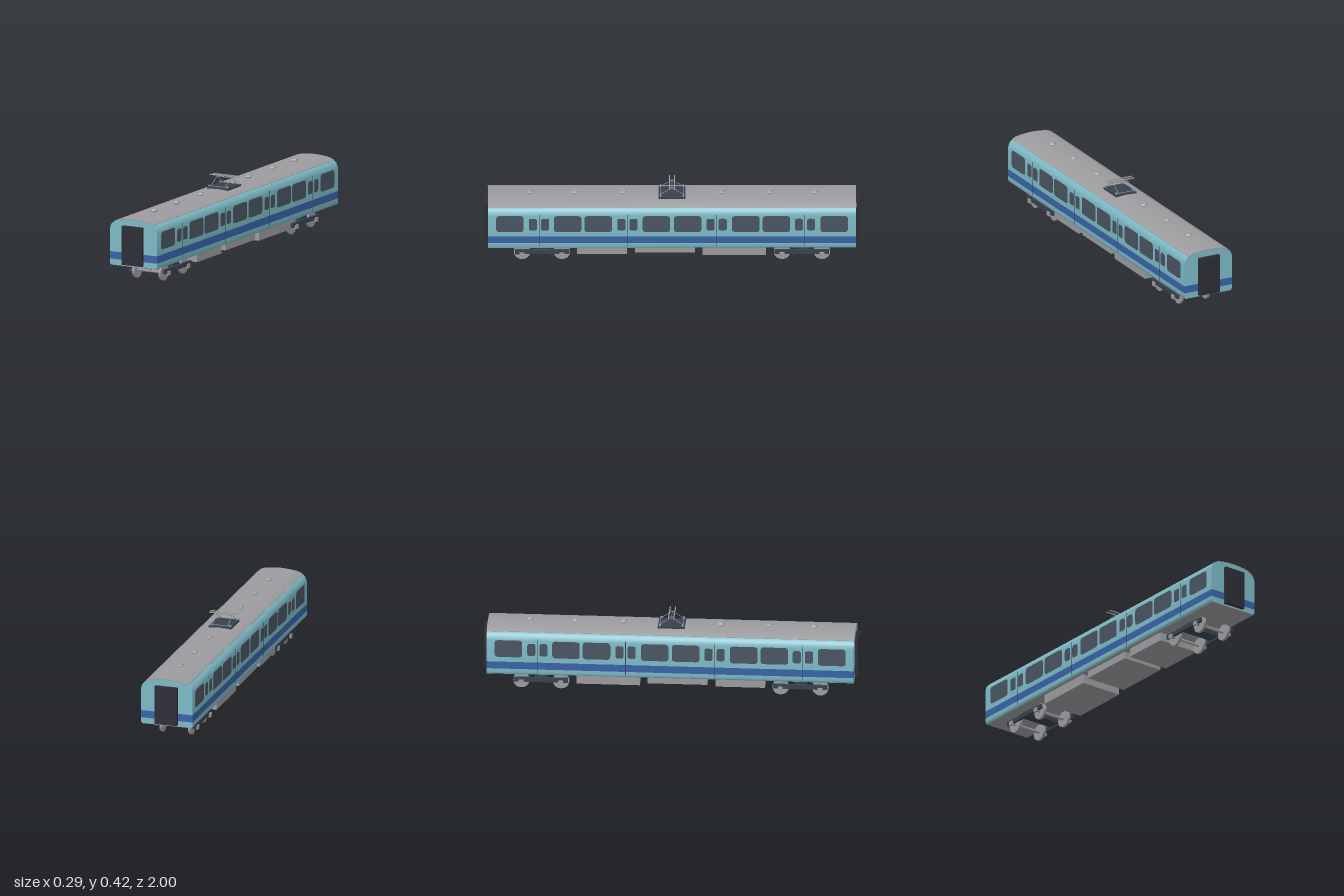
import * as THREE from 'three';
import { toCreasedNormals } from 'three/addons/utils/BufferGeometryUtils.js';

const mat = (name, color, side = THREE.FrontSide) => {
  const m = new THREE.MeshStandardMaterial({ color, side });
  m.name = name;
  return m;
};

export function createModel() {
  const teal = mat('teal paint', 0x7cb9c5);
  const blue = mat('blue stripe', 0x3763a8);
  const grey = mat('grey metal', 0x9c9c9f);
  const glass = mat('window glass', 0x4a5561);
  const dark = mat('dark gangway', 0x2d2d37);
  const navy = mat('navy frame', 0x37424f);

  const train = new THREE.Group();
  train.name = 'railcar';

  const add = (name, geo, material, x = 0, y = 0, z = 0, parent = train) => {
    const m = new THREE.Mesh(geo, material);
    m.name = name;
    m.position.set(x, y, z);
    parent.add(m);
    return m;
  };
  // box given by its limits
  const box = (name, material, x0, x1, y0, y1, z0, z1, parent) =>
    add(name, new THREE.BoxGeometry(x1 - x0, y1 - y0, z1 - z0), material,
      (x0 + x1) / 2, (y0 + y1) / 2, (z0 + z1) / 2, parent);
  // thin round bar between two points
  const bar = (name, material, a, b, r, parent) => {
    const p = new THREE.Vector3(...a), q = new THREE.Vector3(...b);
    const m = add(name, new THREE.CylinderGeometry(r, r, p.distanceTo(q), 6), material, 0, 0, 0, parent);
    m.position.copy(p).lerp(q, 0.5);
    m.quaternion.setFromUnitVectors(new THREE.Vector3(0, 1, 0), q.sub(p).normalize());
  };
  // symmetric cross-section (right half listed from bottom to top) extruded along z
  const slice = (name, material, half, length) => {
    const pts = [...half, ...half.filter(p => p[0] > 0).reverse().map(([x, y]) => [-x, y])];
    const shape = new THREE.Shape(pts.map(p => new THREE.Vector2(...p)));
    const geo = new THREE.ExtrudeGeometry(shape, { depth: length, bevelEnabled: false });
    add(name, toCreasedNormals(geo, 0.6), material, 0, 0, -length / 2);
  };

  // Body shell in colour bands
  const W = 0.144, L = 1.96;
  const arc = [[0.12, 0.334], [0.1, 0.344], [0.075, 0.349], [0.04, 0.353], [0, 0.355]];
  slice('underframe', grey, [[0.137, 0.097], [0.137, 0.1]], L);
  slice('lowerBody', teal, [[0.138, 0.0985], [0.142, 0.103], [W, 0.112], [W, 0.13]], L);
  slice('waistStripe', blue, [[W, 0.13], [W, 0.17]], L);
  slice('upperBody', teal, [[W, 0.17], [W, 0.293], [0.141, 0.308], [0.133, 0.323], ...arc], L);

  // Roof skin over the top of the shell
  const roofShape = new THREE.Shape();
  const top = [...arc, ...arc.slice(0, -1).reverse().map(([x, y]) => [-x, y])];
  const roofLoop = [...top.map(([x, y]) => [x, y + 0.002]), ...top.reverse().map(([x, y]) => [x, y - 0.002])];
  roofShape.setFromPoints(roofLoop.map(p => new THREE.Vector2(...p)));
  add('roof', toCreasedNormals(new THREE.ExtrudeGeometry(roofShape, { depth: L + 0.002, bevelEnabled: false }), 0.6),
    grey, 0, 0, -L / 2 - 0.001);

  // End gangways
  for (const s of [1, -1]) add('gangway', new THREE.BoxGeometry(0.124, 0.211, 0.03), dark, 0, 0.2125, s * 0.985);

  // Rounded window plates on both sides
  const pane = (w, h, r) => {
    const s = new THREE.Shape(), x = w / 2, y = h / 2;
    s.moveTo(-x + r, -y).lineTo(x - r, -y).quadraticCurveTo(x, -y, x, -y + r)
      .lineTo(x, y - r).quadraticCurveTo(x, y, x - r, y)
      .lineTo(-x + r, y).quadraticCurveTo(-x, y, -x, y - r)
      .lineTo(-x, -y + r).quadraticCurveTo(-x, -y, -x + r, -y);
    return new THREE.ExtrudeGeometry(s, { depth: 0.003, bevelEnabled: false, curveSegments: 4 });
  };
  const bigPane = pane(0.147, 0.096, 0.018), smallPane = pane(0.043, 0.07, 0.012);
  for (const side of [1, -1]) {
    const put = (name, geo, y, z) => {
      add(name, geo, glass, side * (W - 0.001), y, z).rotation.y = side * Math.PI / 2;
    };
    for (const e of [1, -1]) {
      for (const z of [0.863, 0.556, 0.393, 0.083]) put('window', bigPane, 0.246, e * z);
      for (const z of [0.741, 0.676, 0.27, 0.205]) put('doorWindow', smallPane, 0.243, e * z);
      // seam between the door leaves
      for (const z of [0.707, 0.238])
        add('doorSeam', new THREE.BoxGeometry(0.002, 0.193, 0.003), navy, side * W, 0.208, e * z);
    }
  }

  // Equipment boxes under the floor
  for (const [z0, z1, y0] of [[0.24, 0.505, 0.05], [-0.123, 0.197, 0.058], [-0.5, -0.163, 0.045]])
    box('equipmentBox', grey, -0.121, 0.121, y0, 0.098, z0, z1);

  // Bogies
  for (const e of [1, -1]) {
    const bogie = new THREE.Group();
    bogie.name = 'bogie';
    bogie.position.z = e * 0.692;
    train.add(bogie);
    box('bolster', navy, -0.098, 0.098, 0.053, 0.08, -0.035, 0.035, bogie);
    box('pivot', navy, -0.03, 0.03, 0.078, 0.099, -0.03, 0.03, bogie);
    for (const s of [1, -1])
      add('sideFrame', new THREE.BoxGeometry(0.014, 0.024, 0.29), navy, s * 0.104, 0.055, 0, bogie);
    for (const z of [0.106, -0.106]) {
      bar('axle', grey, [-0.118, 0.044, z], [0.118, 0.044, z], 0.008, bogie);
      for (const s of [1, -1]) {
        const wheel = new THREE.CylinderGeometry(0.044, 0.044, 0.014, 20).rotateZ(Math.PI / 2);
        add('wheel', wheel, grey, s * 0.08, 0.044, z, bogie);
        add('axleBox', new THREE.BoxGeometry(0.01, 0.022, 0.026), grey, s * 0.114, 0.044, z, bogie);
      }
    }
  }

  // Hexagonal roof vents
  const vent = toCreasedNormals(new THREE.LatheGeometry(
    [[0.015, 0], [0.015, 0.01], [0.024, 0.012], [0.019, 0.02], [0, 0.02]].map(p => new THREE.Vector2(...p)), 6), 0.3);
  for (const z of [0.758, 0.518, 0.26])
    for (const e of [1, -1]) add('roofVent', vent, grey, 0, 0.353, e * z);

  // Pantograph
  const panto = new THREE.Group();
  panto.name = 'pantograph';
  train.add(panto);
  box('base', navy, -0.062, 0.062, 0.352, 0.363, -0.072, 0.072, panto);
  for (const e of [1, -1]) {
    for (const s of [1, -1]) {
      add('insulator', new THREE.CylinderGeometry(0.005, 0.005, 0.01, 8), grey, s * 0.056, 0.368, e * 0.06, panto);
      bar('arm', grey, [s * 0.043, 0.368, e * 0.066], [s * 0.043, 0.409, 0], 0.0016, panto);
    }
    bar('footBar', grey, [-0.056, 0.368, e * 0.062], [0.056, 0.368, e * 0.062], 0.0016, panto);
    box('contactStrip', grey, -0.078, 0.078, 0.416, 0.421, e * 0.014 - 0.003, e * 0.014 + 0.003, panto);
  }
  bar('headBar', grey, [-0.043, 0.409, 0], [0.043, 0.409, 0], 0.0016, panto);
  for (const s of [1, -1])
    for (const e of [1, -1]) bar('headLink', grey, [s * 0.04, 0.409, 0], [s * 0.04, 0.418, e * 0.014], 0.0012, panto);

  return train;
}
